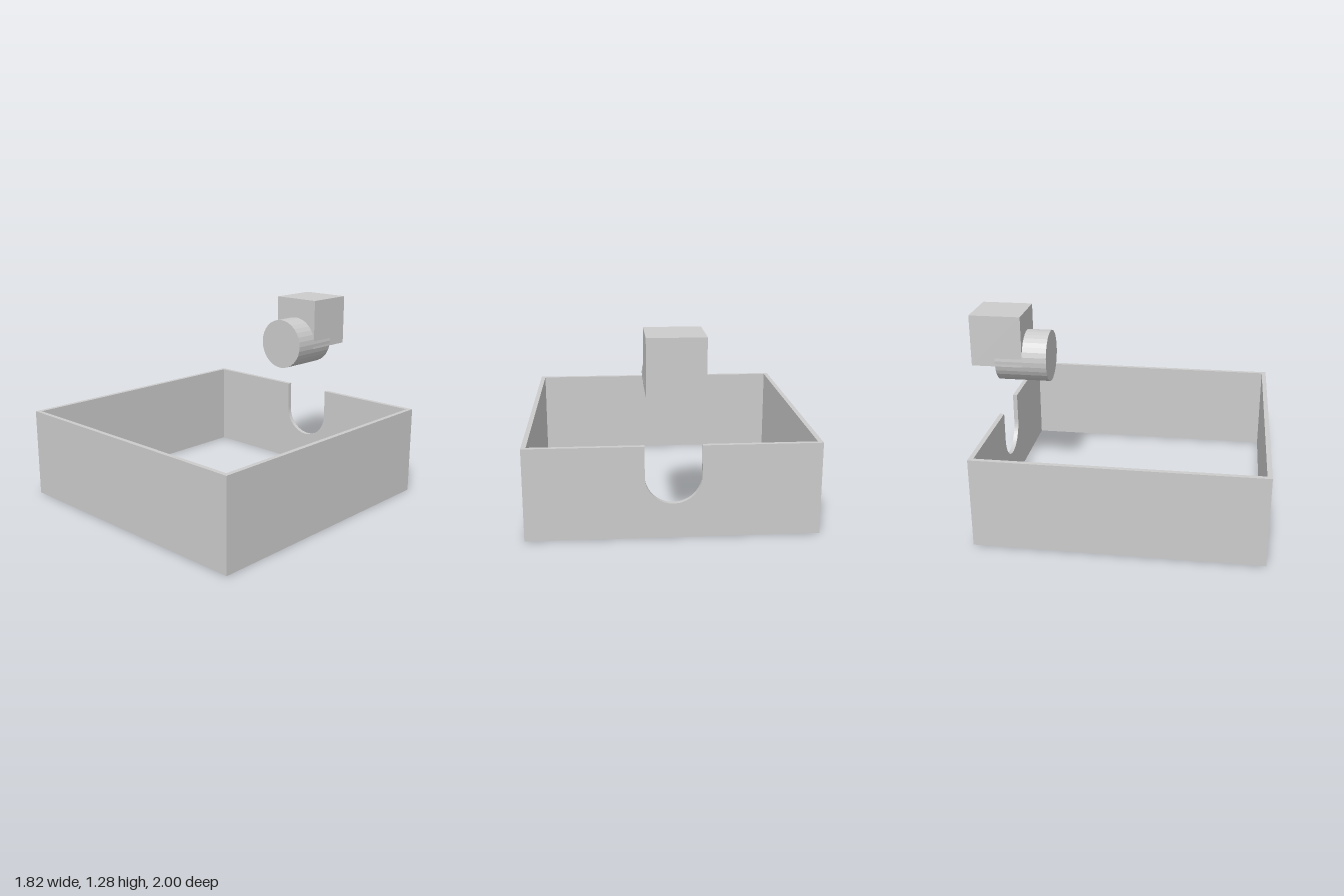
import * as THREE from 'three';

const HALF_W = 0.91, HEIGHT = 0.59, BACK = -0.825, FRONT = 1.0, WALL = 0.03;
const R = 0.175;        // radius of the plug and the notch
const NOTCH_Y = 0.397;  // centre of the notch's round bottom

export function createModel() {
  const group = new THREE.Group();
  const material = new THREE.MeshStandardMaterial({ color: 0xcccccc, flatShading: true });

  const add = (name, geometry, x = 0, y = 0, z = 0) => {
    const mesh = new THREE.Mesh(geometry, material);
    mesh.name = name;
    mesh.position.set(x, y, z);
    group.add(mesh);
    return mesh;
  };
  const outline = (points) => new THREE.Shape(points.map(([x, y]) => new THREE.Vector2(x, y)));

  // Front and side walls: a U-shaped plan extruded upward (plan y becomes -z)
  const inner = HALF_W - WALL, rear = -(BACK + WALL);
  const plan = outline([
    [-HALF_W, -FRONT], [HALF_W, -FRONT], [HALF_W, rear], [inner, rear],
    [inner, -FRONT + WALL], [-inner, -FRONT + WALL], [-inner, rear], [-HALF_W, rear],
  ]);
  const walls = new THREE.ExtrudeGeometry(plan, { depth: HEIGHT, bevelEnabled: false });
  walls.rotateX(-Math.PI / 2);
  add('frontAndSideWalls', walls);

  // Back wall with a round-bottomed notch open at the top
  const back = new THREE.Shape();
  back.moveTo(-HALF_W, 0);
  back.lineTo(HALF_W, 0);
  back.lineTo(HALF_W, HEIGHT);
  back.lineTo(R, HEIGHT);
  back.lineTo(R, NOTCH_Y);
  back.absarc(0, NOTCH_Y, R, 0, -Math.PI, true);
  back.lineTo(-R, HEIGHT);
  back.lineTo(-HALF_W, HEIGHT);
  back.closePath();
  add('backWall', new THREE.ExtrudeGeometry(back, {
    depth: WALL, bevelEnabled: false, curveSegments: 16,
  }), 0, 0, BACK);

  // Floating connector: a block with a round plug running forward through it
  add('connectorBlock', new THREE.BoxGeometry(0.346, 0.348, 0.346), 0, 1.106, -0.827);
  const plug = new THREE.CylinderGeometry(R, R, 0.35, 32);
  plug.rotateX(Math.PI / 2);
  add('connectorPlug', plug, 0, 0.968, -0.665);

  return group;
}
